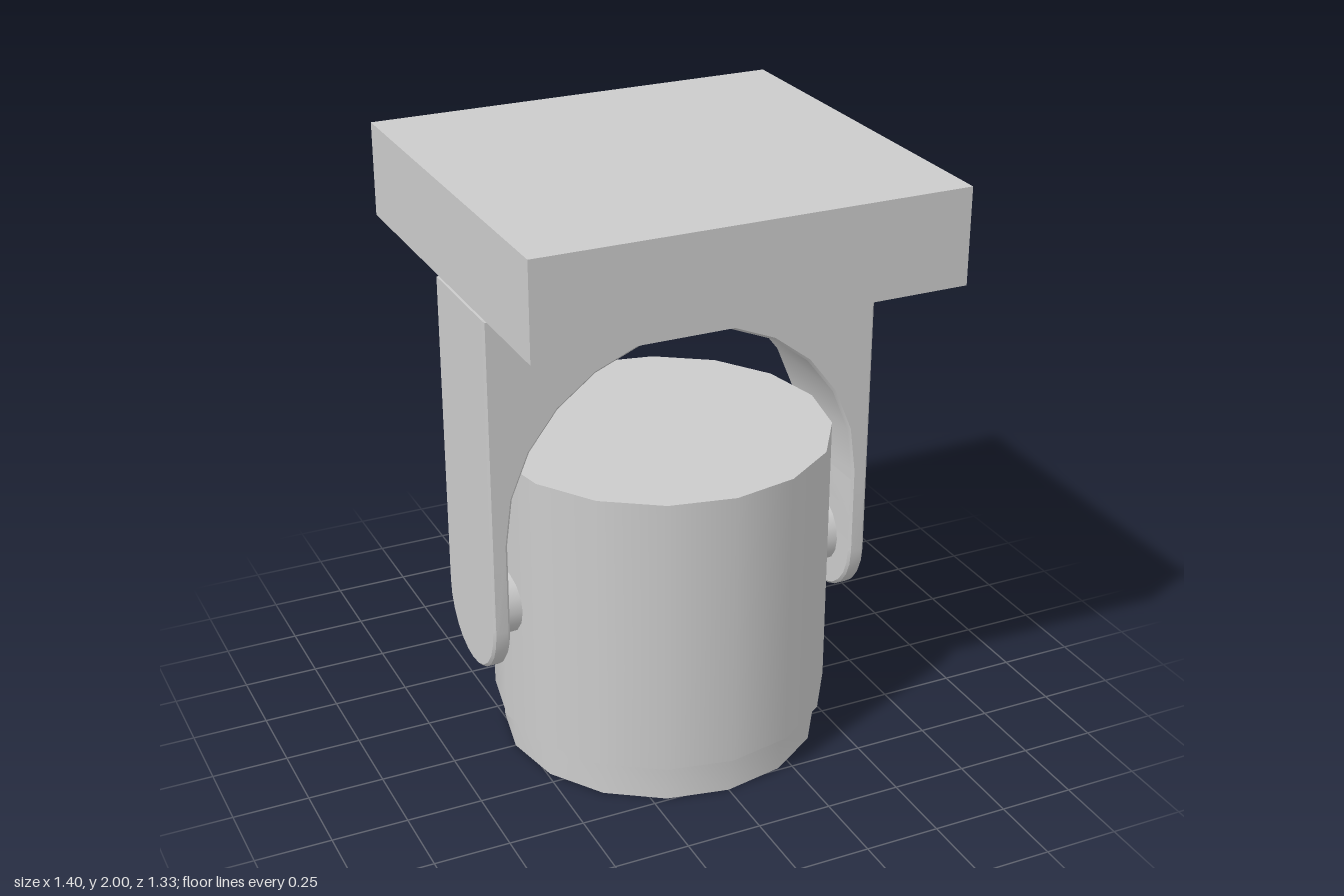
import * as THREE from 'three';
import { toCreasedNormals } from 'three/addons/utils/BufferGeometryUtils.js';

const material = new THREE.MeshStandardMaterial({ color: 0xcccccc });
const BEVEL = 0.008;

function add(parent, name, geometry, x = 0, y = 0, z = 0) {
  const mesh = new THREE.Mesh(geometry, material);
  mesh.name = name;
  mesh.position.set(x, y, z);
  parent.add(mesh);
  return mesh;
}

// Points along an arc, angles in degrees
function arc(cx, cy, r, from, to, steps) {
  return Array.from({ length: steps + 1 }, (_, i) => {
    const a = THREE.MathUtils.degToRad(from + ((to - from) * i) / steps);
    return new THREE.Vector2(cx + r * Math.cos(a), cy + r * Math.sin(a));
  });
}

// Slab centred on its depth, with finely chamfered edges and smooth curves
function slab(points, depth) {
  const geometry = new THREE.ExtrudeGeometry(new THREE.Shape(points), {
    depth: depth - 2 * BEVEL,
    bevelEnabled: true,
    bevelSize: BEVEL,
    bevelThickness: BEVEL,
    bevelOffset: -BEVEL,
    bevelSegments: 1,
  });
  geometry.translate(0, 0, BEVEL - depth / 2);
  return toCreasedNormals(geometry, 0.5);
}

export function createModel() {
  const model = new THREE.Group();
  model.name = 'spotlight';

  // Ceiling base and swivel neck
  add(model, 'base', new THREE.BoxGeometry(1.4, 0.31, 1.33), 0, 1.845, 0);
  add(model, 'neck', new THREE.CylinderGeometry(0.135, 0.135, 0.07, 16), 0, 1.665, 0);

  // Yoke: arched bridge with round-ended arms
  const yoke = new THREE.Group();
  yoke.name = 'yoke';
  model.add(yoke);
  const outer = 0.667, inner = 0.61, tipY = 0.572;
  add(yoke, 'bridge', slab([
    new THREE.Vector2(outer, tipY),
    new THREE.Vector2(outer, 1.64),
    new THREE.Vector2(-outer, 1.64),
    new THREE.Vector2(-outer, tipY),
    new THREE.Vector2(-inner, tipY),
    ...arc(0, 0.875, inner, 180, 0, 12),
    new THREE.Vector2(inner, tipY),
  ], 0.4));

  const tipPoints = [
    ...arc(0, tipY, 0.2, 180, 360, 12),
    new THREE.Vector2(0.2, 0.85),
    new THREE.Vector2(-0.2, 0.85),
  ];
  const tip = slab(tipPoints, outer - inner).rotateY(Math.PI / 2);
  const pivot = new THREE.CylinderGeometry(0.117, 0.117, 0.09, 16).rotateZ(Math.PI / 2);
  for (const [side, s] of [['left', 1], ['right', -1]]) {
    add(yoke, side + 'ArmTip', tip, (s * (outer + inner)) / 2, 0, 0);
    add(yoke, side + 'Pivot', pivot, s * 0.575, 0.58, 0);
  }

  // Lamp head
  const head = new THREE.Group();
  head.name = 'head';
  model.add(head);
  add(head, 'housing', new THREE.CylinderGeometry(0.56, 0.56, 0.95, 16), 0, 0.605, 0);

  // Lens plate with a centre opening and a ring of six
  const plate = new THREE.Shape(arc(0, 0, 0.532, 0, 337.5, 15));
  const opening = (x, y) => plate.holes.push(new THREE.Path(arc(x, y, 0.138, 360, 22.5, 15)));
  opening(0, 0);
  arc(0, 0, 0.33, 10, 310, 5).forEach((p) => opening(p.x, p.y));
  const lensPlate = new THREE.ExtrudeGeometry(plate, { depth: 0.13, bevelEnabled: false });
  lensPlate.rotateX(Math.PI / 2);
  add(head, 'lensPlate', toCreasedNormals(lensPlate, 0.5), 0, 0.13, 0);

  return model;
}
